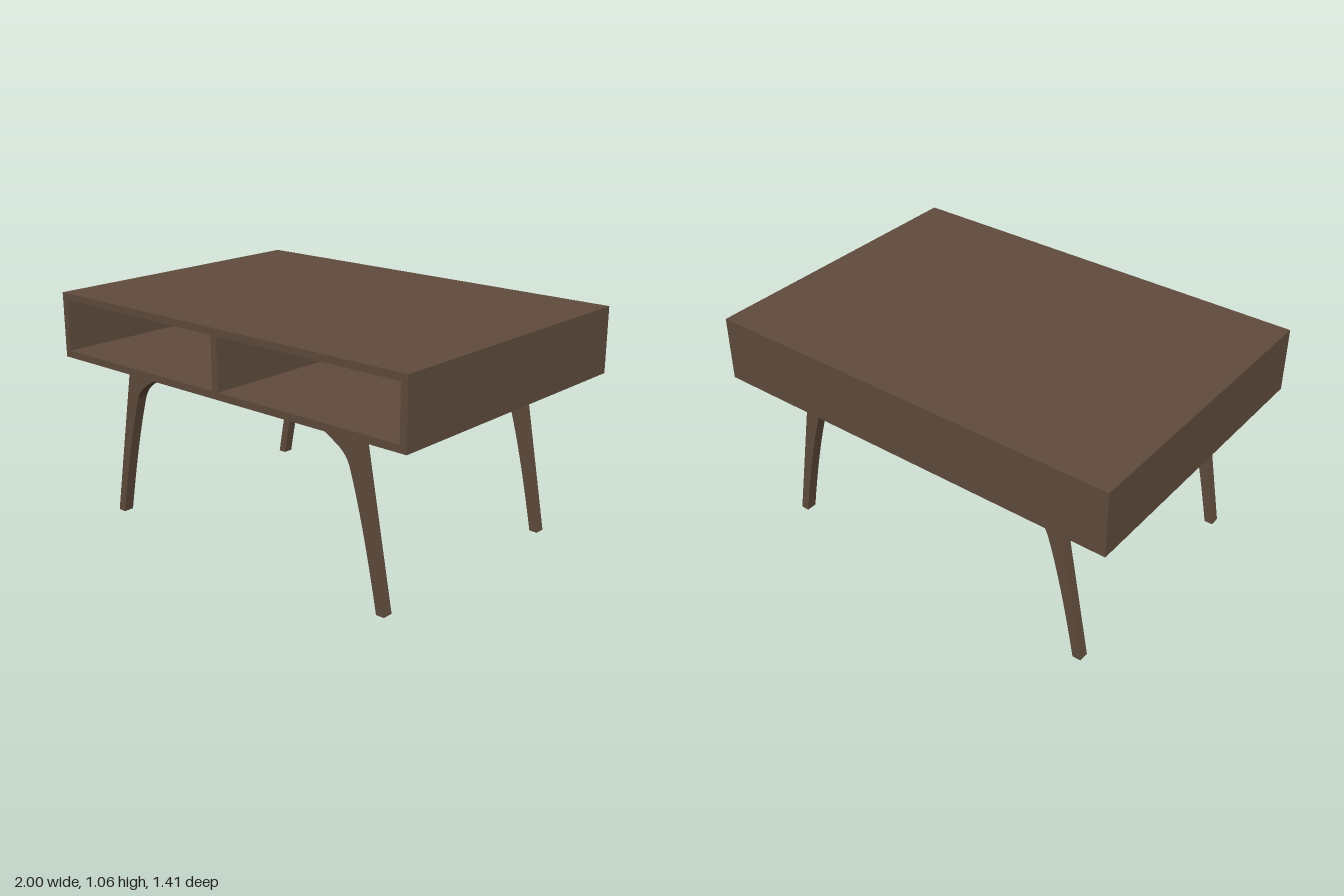
import * as THREE from 'three';

const WIDTH = 2, DEPTH = 1.41, BOTTOM = 0.757, TOP = 1.06, BACK = 0.03;

function rectangle(path, x0, y0, x1, y1) {
  path.moveTo(x0, y0);
  path.lineTo(x1, y0);
  path.lineTo(x1, y1);
  path.lineTo(x0, y1);
  path.closePath();
  return path;
}

// Splayed leg with a curved bracket at the top, drawn for the +x side
function legShape() {
  const s = new THREE.Shape();
  s.moveTo(0.82, 0);
  s.lineTo(0.68, BOTTOM);
  s.lineTo(0.423, BOTTOM);
  s.lineTo(0.572, 0.67);
  s.quadraticCurveTo(0.62, 0.64, 0.637, 0.595);
  s.quadraticCurveTo(0.708, 0.38, 0.78, 0);
  s.closePath();
  return s;
}

export function createModel() {
  const table = new THREE.Group();
  table.name = 'coffeeTable';
  const walnut = new THREE.MeshStandardMaterial({ color: 0x614c3d });
  walnut.name = 'walnut';

  const add = (geometry, name, x, y, z, parent = table) => {
    const mesh = new THREE.Mesh(geometry, walnut);
    mesh.name = name;
    mesh.position.set(x, y, z);
    parent.add(mesh);
    return mesh;
  };

  // Case: rectangular tube with two open compartments
  const frame = rectangle(new THREE.Shape(), -WIDTH / 2, BOTTOM, WIDTH / 2, TOP);
  for (const side of [-1, 1]) {
    const inner = side * 0.017, outer = side * 0.967;
    frame.holes.push(rectangle(new THREE.Path(),
      Math.min(inner, outer), 0.79, Math.max(inner, outer), 1.028));
  }
  add(new THREE.ExtrudeGeometry(frame, { depth: DEPTH - BACK, bevelEnabled: false }),
    'caseFrame', 0, 0, -DEPTH / 2 + BACK);
  add(new THREE.BoxGeometry(WIDTH, TOP - BOTTOM, BACK),
    'backPanel', 0, (TOP + BOTTOM) / 2, -DEPTH / 2 + BACK / 2);

  // Legs: one profile, turned half round for the other side
  const thickness = 0.049;
  const legGeometry = new THREE.ExtrudeGeometry(legShape(),
    { depth: thickness, bevelEnabled: false, curveSegments: 8 });
  legGeometry.translate(0, 0, -thickness / 2);
  for (const [end, z] of [['front', 0.573], ['back', -0.537]]) {
    add(legGeometry, end + 'LeftLeg', 0, 0, z);
    add(legGeometry, end + 'RightLeg', -0.013, 0, z - 0.015).rotation.y = Math.PI;
  }
  return table;
}
